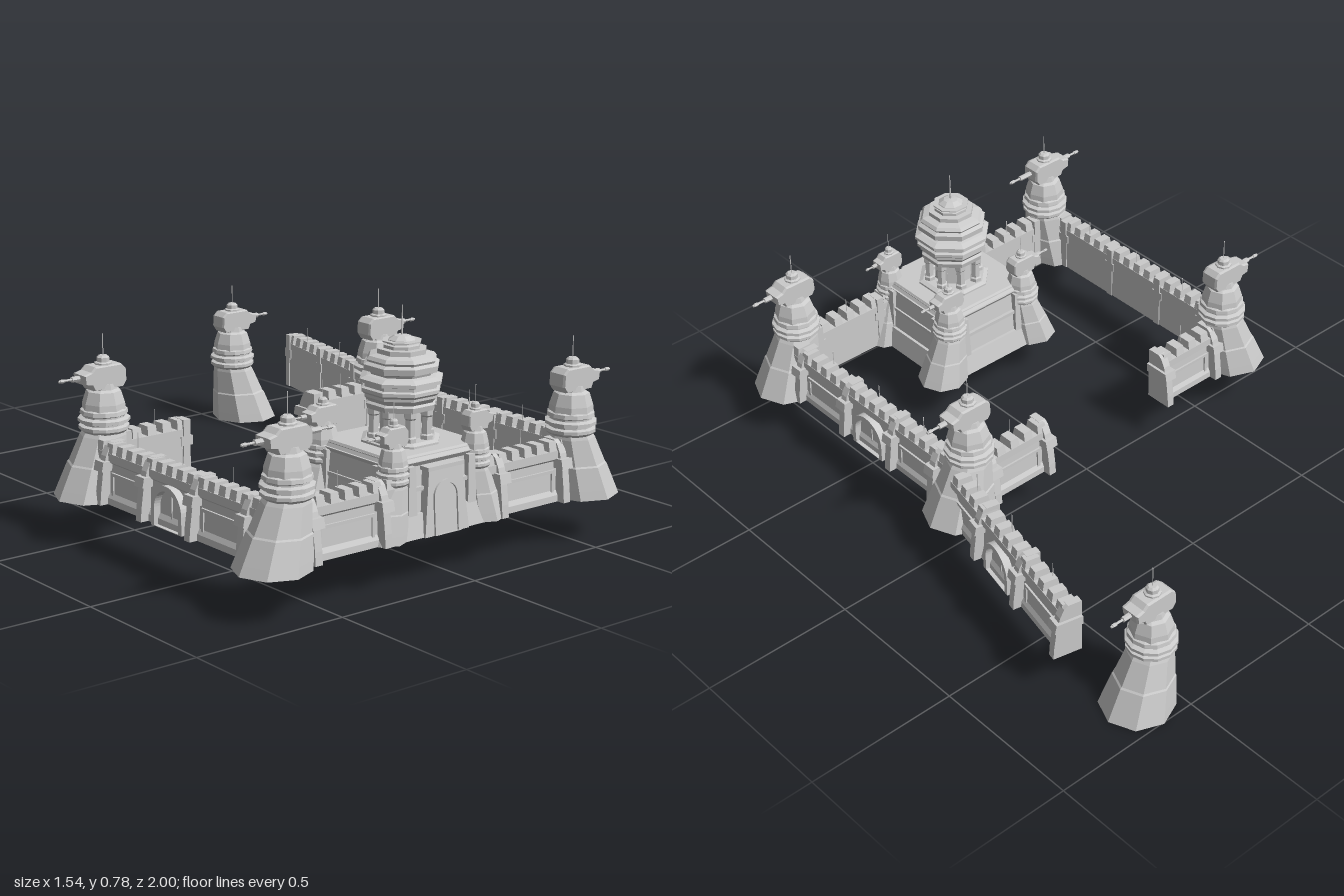
import * as THREE from 'three';

const grey = new THREE.MeshStandardMaterial({ color: 0xcccccc, flatShading: true, side: THREE.DoubleSide });
const GROUND = 0.14; // level of the courtyard; the detached tower stands lower

function add(parent, name, geo, x = 0, y = 0, z = 0) {
  const m = new THREE.Mesh(geo, grey);
  m.name = name;
  m.position.set(x, y, z);
  parent.add(m);
  return m;
}
const box = (w, h, d) => new THREE.BoxGeometry(w, h, d);
const rod = (r, h, n = 6) => new THREE.CylinderGeometry(r, r, h, n);
const lathe = (pts, n = 8) => new THREE.LatheGeometry(pts.map(([r, y]) => new THREE.Vector2(r, y)), n);
const poly = pts => new THREE.Shape(pts.map(p => new THREE.Vector2(...p)));

// Box standing on y = 0 whose top is a different size from its bottom
function frustum(w0, d0, w1, d1, h) {
  const g = box(1, h, 1).translate(0, h / 2, 0), p = g.attributes.position;
  for (let i = 0; i < p.count; i++) {
    const top = p.getY(i) > h / 2;
    p.setX(i, p.getX(i) * (top ? w1 : w0));
    p.setZ(i, p.getZ(i) * (top ? d1 : d0));
  }
  return g;
}

// Cross-section (depth, height) swept along x, starting at x = 0
function sweep(section, length) {
  return new THREE.ExtrudeGeometry(poly(section), { depth: length, bevelEnabled: false })
    .rotateY(-Math.PI / 2).translate(length, 0, 0);
}

// Arched frame, open in the middle
function archFrame(w, h, t, depth) {
  const outline = (hw, top, path) => {
    path.moveTo(-hw, 0);
    path.lineTo(-hw, top - hw);
    path.absarc(0, top - hw, hw, Math.PI, 0, true);
    path.lineTo(hw, 0);
    path.lineTo(-hw, 0);
    return path;
  };
  const s = outline(w / 2, h, new THREE.Shape());
  const inner = outline(w / 2 - t, h - t, new THREE.Path());
  inner.curves.forEach(c => { if (c.v1) { c.v1.y = Math.max(c.v1.y, 0.002); c.v2.y = Math.max(c.v2.y, 0.002); } });
  s.holes.push(inner);
  return new THREE.ExtrudeGeometry(s, { depth, bevelEnabled: false, curveSegments: 10 });
}

// Gun tower: leaning octagonal skirt, ringed collar, drum and gun head facing +x
function tower(name, x, y, z, facing, sr = 1, sy = 1, twin = false) {
  const g = new THREE.Group();
  g.name = name;
  const skirt = lathe([[0, 0], [0.115, 0], [0.109, 0.03], [0.094, 0.1], [0.09, 0.105], [0.072, 0.185], [0.066, 0.2], [0, 0.2]]);
  const p = skirt.attributes.position;
  for (let i = 0; i < p.count; i++) p.setX(i, p.getX(i) + 0.053 * (1 - p.getY(i) / 0.2));
  add(g, 'skirt', skirt);
  add(g, 'collar', lathe([[0, 0.195], [0.066, 0.195], [0.078, 0.205], [0.078, 0.215], [0.066, 0.219], [0.066, 0.224],
    [0.08, 0.228], [0.08, 0.238], [0.066, 0.243], [0.066, 0.248], [0.074, 0.252], [0.072, 0.264], [0.062, 0.268], [0, 0.268]], 12));
  add(g, 'drum', lathe([[0.068, 0.264], [0.066, 0.285], [0.054, 0.322], [0.042, 0.328], [0.038, 0.345], [0, 0.345]]));
  const head = poly([[-0.05, 0.333], [0.05, 0.333], [0.058, 0.35], [0.082, 0.355], [0.085, 0.38], [0.06, 0.386],
    [0.045, 0.4], [-0.045, 0.4], [-0.06, 0.386], [-0.062, 0.35]]);
  add(g, 'gunHead', new THREE.ExtrudeGeometry(head, { depth: 0.05, bevelThickness: 0.008, bevelSize: 0.003, bevelSegments: 1 }), 0, 0, -0.025);
  add(g, 'cap', lathe([[0.027, 0.398], [0.027, 0.408], [0.02, 0.411], [0.02, 0.424], [0.013, 0.43], [0, 0.43]]));
  add(g, 'antenna', rod(0.0018, 0.07, 4), 0, 0.46, 0);
  for (const s of twin ? [1, -1] : [1]) {
    add(g, 'gunSleeve', rod(0.009, 0.05).rotateZ(Math.PI / 2), s * 0.09, 0.37, 0);
    add(g, 'gunBarrel', rod(0.004, 0.07).rotateZ(Math.PI / 2), s * 0.125, 0.37, 0);
    add(g, 'muzzle', rod(0.006, 0.014).rotateZ(Math.PI / 2), s * 0.148, 0.37, 0);
  }
  g.scale.set(sr, sy, sr);
  g.position.set(x, y, z);
  if (facing < 0) g.rotation.y = Math.PI;
  return g;
}

// Wall from a to b (x, z pairs); its outer side lies to the right when walking from a to b
function wall(name, a, b, posts, arch = null) {
  const g = new THREE.Group();
  g.name = name;
  const dx = b[0] - a[0], dz = b[1] - a[1], L = Math.hypot(dx, dz);
  g.position.set(a[0], GROUND, a[1]);
  g.rotation.y = Math.atan2(-dz, dx);
  add(g, 'wallBody', sweep([[0, 0], [0.064, 0], [0.063, 0.02], [0.055, 0.035], [0.052, 0.125], [0.06, 0.132], [0.06, 0.158], [0, 0.158]], L));
  const n = Math.round(L / 0.052), step = L / n;
  for (let i = 0; i < n; i++) {
    add(g, 'merlon', frustum(step * 0.62, 0.058, step * 0.55, 0.046, 0.03), (i + 0.5) * step, 0.157, 0.03);
  }
  const post = [[0, 0], [0.095, 0], [0.092, 0.04], [0.084, 0.1], [0.072, 0.15], [0.058, 0.178], [0.045, 0.188], [0, 0.188]];
  for (const t of posts) {
    add(g, 'buttress', sweep(post, 0.026), t - 0.013, 0, -0.004);
    add(g, 'buttressBand', sweep([[0, 0.105], [0.094, 0.105], [0.088, 0.135], [0, 0.135]], 0.044), t - 0.022, 0, -0.004);
  }
  // Raised panel borders in the bays, an arched gate in one of them
  const stops = [0, ...posts, L];
  for (let i = 0; i + 1 < stops.length; i++) {
    const w = stops[i + 1] - stops[i] - 0.06, c = (stops[i] + stops[i + 1]) / 2;
    if (w < 0.06) continue;
    add(g, 'pole', rod(0.0015, 0.07, 4), c, 0.2, 0.015);
    if (arch !== null && Math.abs(c - arch) < 0.05) continue;
    add(g, 'panelRail', box(w, 0.01, 0.01), c, 0.095, 0.054);
    for (const s of [-1, 1]) add(g, 'panelStile', box(0.01, 0.07, 0.01), c + s * w / 2, 0.065, 0.054);
  }
  if (arch !== null) {
    add(g, 'gateFrame', archFrame(0.15, 0.132, 0.016, 0.032), arch, 0, 0.045);
    add(g, 'gateSeam', box(0.005, 0.105, 0.008), arch, 0.053, 0.054);
  }
  return g;
}

function keep() {
  const g = new THREE.Group();
  g.name = 'keep';
  g.position.set(-0.053, GROUND, 0.72);
  add(g, 'plinth', frustum(0.43, 0.42, 0.4, 0.39, 0.07));
  add(g, 'keepBody', frustum(0.39, 0.38, 0.345, 0.335, 0.2), 0, 0.03);
  add(g, 'cornice', frustum(0.345, 0.335, 0.37, 0.36, 0.018), 0, 0.2);
  add(g, 'roofSlab', frustum(0.36, 0.35, 0.335, 0.325, 0.02), 0, 0.216);
  // Sloping corner piers and rails on each face
  for (let k = 0; k < 4; k++) {
    const face = new THREE.Group();
    face.name = 'keepFace';
    face.rotation.y = k * Math.PI / 2;
    for (const s of [-1, 1]) add(face, 'pier', frustum(0.035, 0.04, 0.025, 0.025, 0.2), s * 0.115, 0.01, 0.178);
    add(face, 'rail', box(0.27, 0.012, 0.02), 0, 0.14, 0.178);
    g.add(face);
  }
  // Gatehouse
  add(g, 'porch', frustum(0.17, 0.08, 0.125, 0.05, 0.195), 0, 0, 0.177);
  add(g, 'porchRoof', box(0.14, 0.012, 0.06), 0, 0.198, 0.177);
  const frame = add(g, 'doorFrame', archFrame(0.1, 0.16, 0.011, 0.012), 0, 0, 0.211);
  frame.rotation.x = -0.077;

  // Pagoda: columns, lower saucer, upper saucer, domed roof and spire
  const pagoda = new THREE.Group();
  pagoda.name = 'pagoda';
  pagoda.position.set(0, 0.23, 0.007);
  pagoda.rotation.y = Math.PI / 8;
  add(pagoda, 'base', lathe([[0.122, 0], [0.122, 0.012], [0.108, 0.018], [0, 0.018]]));
  add(pagoda, 'core', lathe([[0.066, 0.01], [0.06, 0.12]]));
  for (let i = 0; i < 8; i++) {
    const a = i * Math.PI / 4;
    add(pagoda, 'column', lathe([[0.02, 0.012], [0.02, 0.03], [0.015, 0.034], [0.015, 0.085], [0.02, 0.09], [0.02, 0.112]], 6),
      0.084 * Math.sin(a), 0, 0.084 * Math.cos(a));
  }
  add(pagoda, 'lowerSaucer', lathe([[0, 0.106], [0.104, 0.106], [0.108, 0.122], [0.1, 0.128], [0.112, 0.142], [0.112, 0.15],
    [0.122, 0.158], [0.122, 0.168], [0.113, 0.172], [0.113, 0.182], [0.128, 0.186], [0.128, 0.196], [0.108, 0.204], [0.09, 0.208], [0, 0.208]]));
  add(pagoda, 'upperSaucer', lathe([[0.09, 0.2], [0.096, 0.214], [0.115, 0.22], [0.117, 0.238], [0.104, 0.245], [0.108, 0.252],
    [0.1, 0.262], [0.076, 0.268], [0.076, 0.282], [0, 0.284]]));
  add(pagoda, 'dome', lathe([[0.056, 0.28], [0.056, 0.292], [0.046, 0.294], [0.042, 0.306], [0.024, 0.317], [0, 0.32]]));
  add(pagoda, 'domeRim', rod(0.06, 0.004, 8), 0, 0.302, 0);
  add(pagoda, 'spire', new THREE.CylinderGeometry(0.0015, 0.003, 0.095, 5), 0, 0.36, 0);
  g.add(pagoda);
  return g;
}

export function createModel() {
  const root = new THREE.Group();
  root.name = 'fortress';

  // Wall towers, and the lone tower on lower ground
  root.add(tower('backLeftTower', 0.497, GROUND, -0.01, 1), tower('backRightTower', -0.6, GROUND, -0.01, -1));
  root.add(tower('frontLeftTower', 0.497, GROUND, 0.88, 1), tower('frontRightTower', -0.6, GROUND, 0.88, -1, 1, 1, true));
  root.add(tower('detachedTower', 0.56, 0, -0.89, 1));

  // Keep and its corner turrets
  root.add(keep());
  for (const s of [-1, 1]) {
    const x = -0.053 + s * 0.158;
    root.add(tower('keepBackTurret', x, GROUND, 0.56, s, 0.73, 0.82));
    root.add(tower('keepFrontTurret', x, GROUND, 0.875, s, 0.62, 0.82));
  }

  // Curtain walls
  root.add(wall('leftWall', [0.497, 0.84], [0.497, 0.03], [0.06, 0.3, 0.54, 0.75], 0.42));
  root.add(wall('rightWall', [-0.603, 0.03], [-0.603, 0.84], [0.06, 0.27, 0.51, 0.75], 0.39));
  root.add(wall('frontRightWall', [-0.58, 0.85], [-0.22, 0.85], [0.045, 0.3]));
  root.add(wall('frontLeftWall', [0.115, 0.85], [0.475, 0.85], [0.06, 0.315]));
  root.add(wall('backRightWall', [-0.3, 0.02], [-0.58, 0.02], [0.013, 0.235]));
  root.add(wall('backLeftWall', [0.475, 0.02], [0.197, 0.02], [0.04, 0.265]));
  root.add(wall('outerWall', [0.532, -0.04], [0.68, -0.72], [0.19, 0.44, 0.683], 0.315));
  return root;
}
